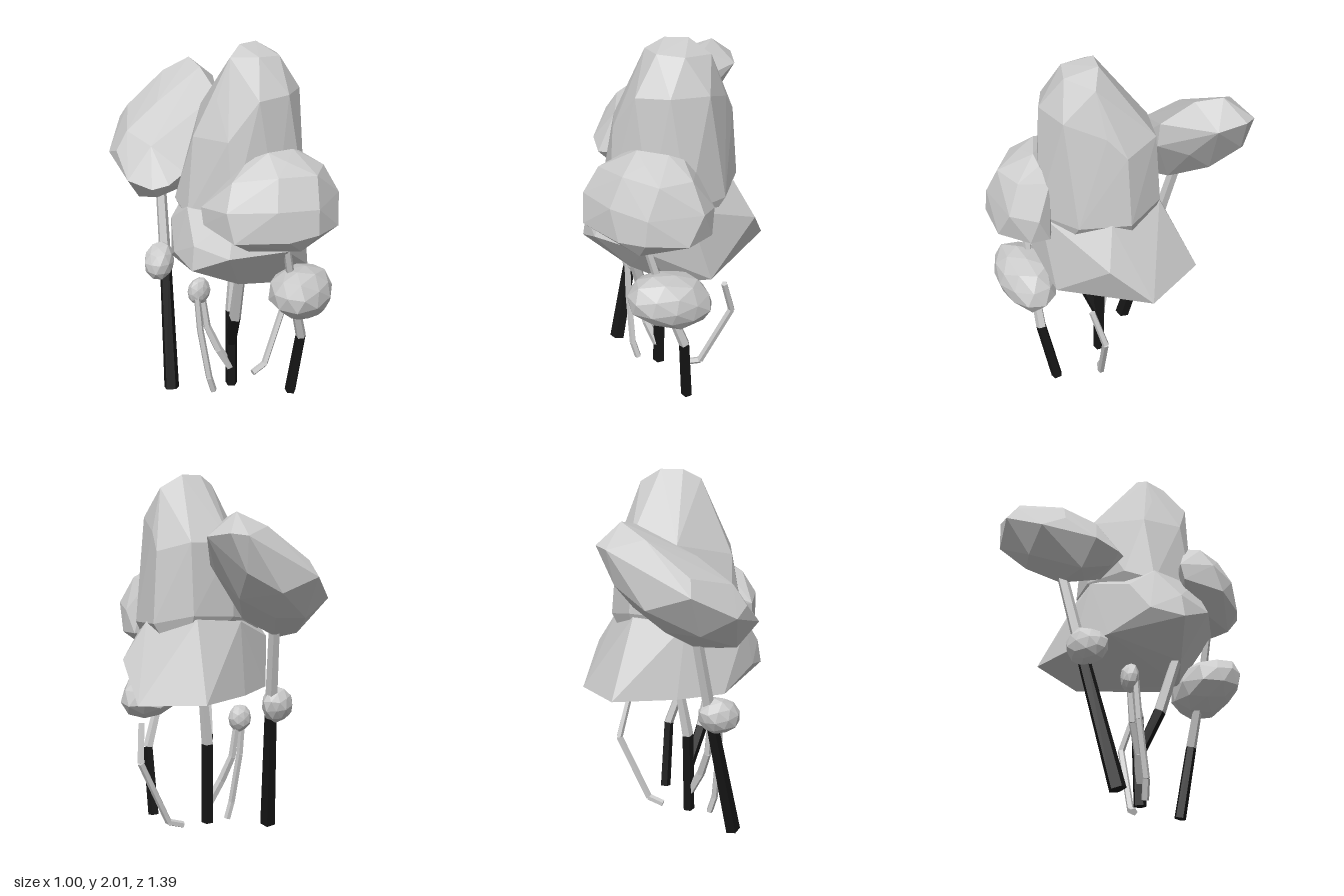
import * as THREE from 'three';
import { ConvexGeometry } from 'three/addons/geometries/ConvexGeometry.js';

const grey = new THREE.MeshStandardMaterial({ color: 0xcccccc, flatShading: true });
const dark = new THREE.MeshStandardMaterial({ color: 0x161616, flatShading: true });
const V = (p) => new THREE.Vector3(...p);

// Faceted hull around a few corner points
function hull(name, points) {
  const mesh = new THREE.Mesh(new ConvexGeometry(points.map(V)), grey);
  mesh.name = name;
  return mesh;
}

// Irregular faceted foliage blob: centre, half sizes, yaw and tilt
function foliage(name, centre, size, yaw = 0, tilt = 0) {
  const geo = new THREE.IcosahedronGeometry(1, 1);
  const pos = geo.attributes.position;
  const v = new THREE.Vector3();
  for (let i = 0; i < pos.count; i++) {
    v.fromBufferAttribute(pos, i);
    v.multiplyScalar(1 + 0.05 * Math.sin(v.x * 7 + v.y * 11 + v.z * 5));
    pos.setXYZ(i, v.x * size[0], v.y * size[1], v.z * size[2]);
  }
  geo.computeVertexNormals();
  const mesh = new THREE.Mesh(geo, grey);
  mesh.name = name;
  mesh.position.set(...centre);
  mesh.rotation.set(0, yaw, tilt, 'YXZ');
  return mesh;
}

// Bent five-sided stem through a list of points; the first darkCount segments are dark
function stem(name, points, radii, darkCount = 0) {
  const group = new THREE.Group();
  group.name = name;
  for (let i = 0; i + 1 < points.length; i++) {
    const a = V(points[i]), b = V(points[i + 1]);
    const dir = b.clone().sub(a);
    const geo = new THREE.CylinderGeometry(radii[i + 1], radii[i], dir.length(), 5);
    const mesh = new THREE.Mesh(geo, i < darkCount ? dark : grey);
    mesh.name = name + 'Segment';
    mesh.position.copy(a).add(b).multiplyScalar(0.5);
    mesh.quaternion.setFromUnitVectors(new THREE.Vector3(0, 1, 0), dir.normalize());
    group.add(mesh);
  }
  return group;
}

export function createModel() {
  const model = new THREE.Group();
  model.name = 'treeCluster';

  // Tall main crown
  model.add(hull('mainCrown', [
    [0, 2, 0.1], [0.12, 2, 0.08], [-0.09, 1.95, 0.14], [0, 1.96, 0.26], [0.14, 1.95, 0.25], [0.24, 1.93, 0.1],
    [0.1, 1.78, 0.38], [-0.08, 1.77, 0.37], [-0.18, 1.75, 0.15], [0, 1.76, -0.09], [0.31, 1.7, 0.05], [0.27, 1.77, 0.26],
    [-0.05, 1.64, -0.18], [0.2, 1.65, -0.2], [0.33, 1.6, -0.05], [-0.28, 1.56, 0.08], [-0.22, 1.57, 0.3],
    [0.2, 1.2, 0.41], [0, 1.2, 0.42], [-0.23, 1.2, 0.35], [-0.35, 1.15, 0.12], [-0.32, 1.2, -0.04],
    [-0.05, 1.25, -0.2], [0.2, 1.27, -0.23], [0.36, 1.22, -0.07], [0.35, 1.2, 0.2],
    [0.2, 0.95, 0.3], [-0.2, 0.95, 0.3], [-0.2, 0.95, 0], [0.2, 0.95, -0.1],
  ]));

  // Flared lower skirt of the crown, with a slanted underside
  model.add(hull('crownSkirt', [
    [0.23, 0.84, -0.44], [0.5, 0.81, -0.18], [0.49, 1.02, 0.05], [0.31, 0.77, 0.33], [0.1, 0.73, 0.35],
    [-0.15, 0.77, 0.3], [0, 1, 0.52], [-0.3, 1, 0.42], [-0.42, 0.91, 0.26], [-0.41, 0.95, 0.08], [-0.4, 1.04, 0.25],
    [-0.3, 0.83, -0.12], [-0.08, 0.83, -0.28], [-0.36, 1.1, -0.02],
    [0.36, 1.22, 0.03], [-0.35, 1.2, 0.12], [0.18, 1.25, -0.23], [-0.22, 1.2, 0.36], [0.2, 1.2, 0.4], [-0.1, 1.22, -0.19],
  ]));

  // Front canopy, broad at the bottom and leaning back towards the top
  model.add(hull('frontCanopy', [
    [-0.2, 1.03, 0.45], [0.1, 1.02, 0.5], [0.25, 1.05, 0.45], [0, 1.04, 0.62], [-0.1, 1.03, 0.36],
    [-0.36, 1.16, 0.28], [-0.33, 1.12, 0.5], [-0.1, 1.12, 0.65], [0.05, 1.14, 0.695], [0.25, 1.12, 0.62],
    [0.33, 1.11, 0.45], [0.3, 1.11, 0.35],
    [0.33, 1.24, 0.4], [0.31, 1.27, 0.55], [0.06, 1.27, 0.68], [-0.15, 1.28, 0.61], [-0.34, 1.27, 0.45], [-0.36, 1.25, 0.26],
    [0.24, 1.42, 0.5], [0.1, 1.42, 0.61], [-0.1, 1.43, 0.55], [-0.27, 1.4, 0.4], [0.22, 1.4, 0.34],
    [-0.06, 1.52, 0.42], [0.1, 1.51, 0.42], [0, 1.48, 0.5], [-0.13, 1.48, 0.35], [0.17, 1.48, 0.39],
  ]));

  // Tilted back canopy: rim, upper side, underside
  model.add(hull('backCanopy', [
    [-0.27, 1.49, -0.68], [0.14, 1.7, -0.7], [-0.05, 1.42, -0.7], [-0.45, 1.36, -0.5], [-0.5, 1.28, -0.22],
    [-0.43, 1.25, -0.09], [-0.35, 1.27, -0.05], [-0.25, 1.32, -0.05], [0, 1.47, -0.17], [0.1, 1.53, -0.22],
    [0.2, 1.63, -0.4], [0.26, 1.69, -0.5], [0.21, 1.71, -0.65],
    [0.12, 1.81, -0.54], [0.1, 1.78, -0.4], [0.1, 1.66, -0.23], [-0.02, 1.74, -0.6], [-0.25, 1.57, -0.62],
    [-0.21, 1.63, -0.37], [-0.4, 1.5, -0.38], [-0.47, 1.4, -0.38], [-0.36, 1.45, -0.2],
    [-0.4, 1.15, -0.28], [-0.3, 1.13, -0.25], [-0.2, 1.16, -0.37], [-0.38, 1.19, -0.12], [-0.2, 1.2, -0.15],
    [-0.1, 1.28, -0.55], [-0.28, 1.27, -0.55], [-0.05, 1.25, -0.3], [0.08, 1.38, -0.5], [0.15, 1.5, -0.38], [0.12, 1.52, -0.65],
  ]));

  // Small leaf clumps
  model.add(foliage('lowerFrontClump', [0.12, 0.73, 0.505], [0.235, 0.15, 0.165], 0.5, -0.25));
  model.add(foliage('lowerBackClump', [-0.305, 0.75, -0.235], [0.125, 0.1, 0.085], Math.PI / 4, 0.3));
  model.add(foliage('tinyClump', [-0.21, 0.63, 0.01], [0.07, 0.08, 0.05]));

  // Trunks and branches
  model.add(stem('backTrunk', [[-0.35, 0, -0.08], [-0.26, 0.72, -0.25], [-0.2, 1.28, -0.38]], [0.045, 0.035, 0.03], 1));
  model.add(stem('mainTrunk', [[-0.04, 0, 0.09], [-0.035, 0.48, 0.08], [0.02, 0.85, 0.04]], [0.035, 0.035, 0.025], 1));
  model.add(stem('mainBranch', [[-0.04, 0.28, 0.09], [-0.09, 0.5, 0.19], [-0.13, 0.82, 0.29]], [0.03, 0.035, 0.03], 1));
  model.add(stem('frontTrunk', [[0.19, 0, 0.355], [0.19, 0.4, 0.43], [0.09, 0.7, 0.47], [-0.02, 1.12, 0.51]], [0.033, 0.03, 0.025, 0.02], 1));
  model.add(stem('sideTwig', [[-0.05, 0.12, 0.09], [-0.12, 0.25, 0.07], [-0.17, 0.4, 0.03], [-0.19, 0.62, 0.01]], [0.027, 0.025, 0.022, 0.018]));
  model.add(stem('leftStem', [[-0.17, 0, 0.09], [-0.2, 0.1, 0.09], [-0.23, 0.4, 0.05], [-0.24, 0.66, 0.03]], [0.02, 0.02, 0.02, 0.018]));
  model.add(stem('bentStem', [[0.12, 0.01, 0.09], [0.21, 0.04, 0.09], [0.385, 0.42, 0.07], [0.35, 0.63, 0.14]], [0.02, 0.02, 0.02, 0.018]));

  return model;
}
